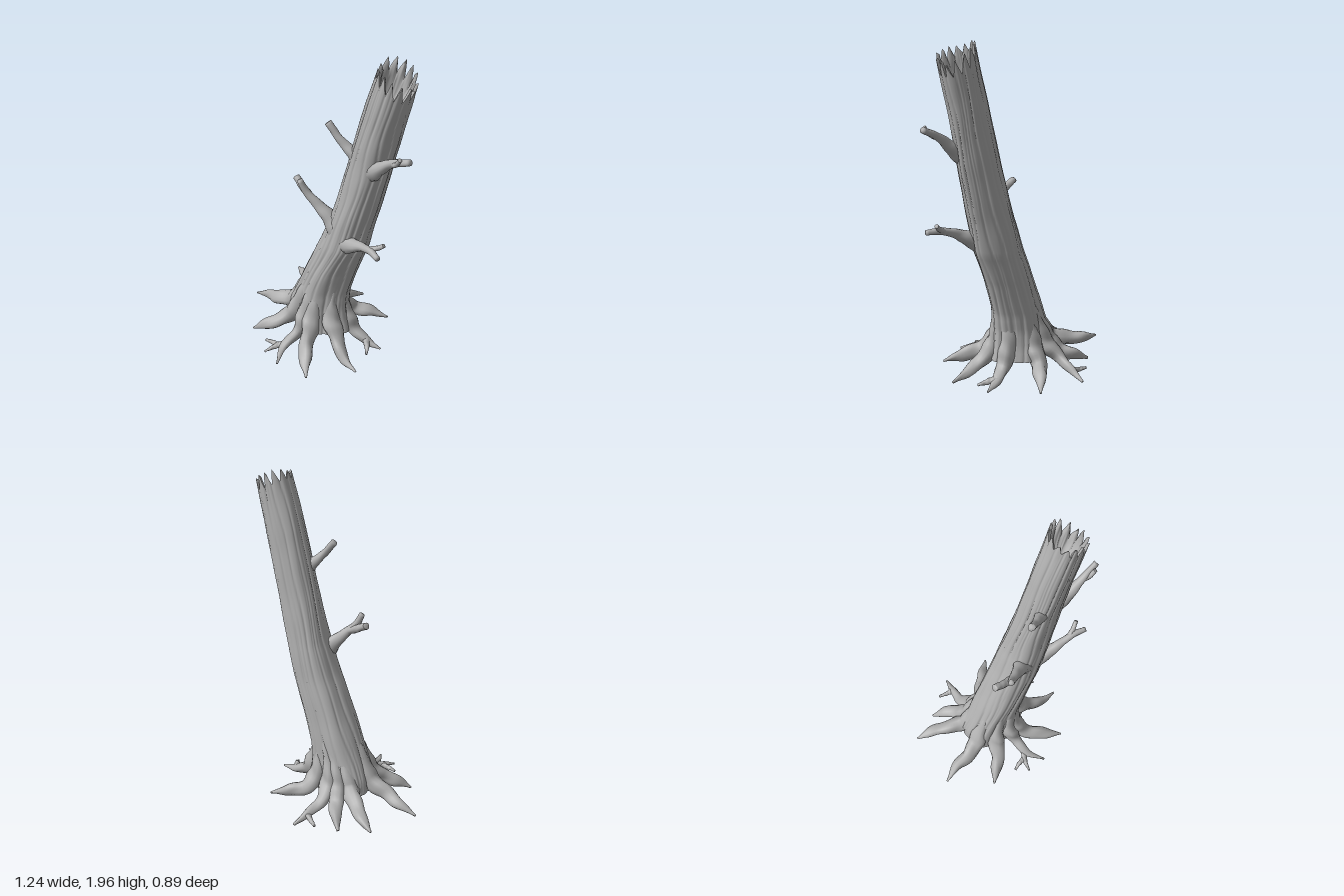
import * as THREE from 'three';

const V = (a) => new THREE.Vector3(...a);
const wood = new THREE.MeshStandardMaterial({ color: 0xb0b0b0 });
wood.name = 'grey wood';

// Trunk outline: height, left x, right x, half depth
const PROFILE = [
  [0.1, -0.33, 0.13, 0.19], [0.2, -0.31, 0.11, 0.165], [0.3, -0.265, 0.1, 0.152], [0.4, -0.22, 0.11, 0.146],
  [0.6, -0.13, 0.175, 0.14], [0.8, -0.035, 0.26, 0.135], [1.0, 0.05, 0.31, 0.128], [1.2, 0.115, 0.365, 0.119],
  [1.4, 0.175, 0.415, 0.112], [1.6, 0.23, 0.467, 0.106], [1.88, 0.325, 0.545, 0.1],
];
const SEG = 168, RIM = 1.88, TEETH = 14;
const smooth = THREE.MathUtils.smoothstep;

function section(y) {
  let i = 0;
  while (i < PROFILE.length - 2 && y > PROFILE[i + 1][0]) i++;
  const a = PROFILE[i], b = PROFILE[i + 1], t = (y - a[0]) / (b[0] - a[0]);
  const [l, r, hz] = [1, 2, 3].map((k) => a[k] + (b[k] - a[k]) * t);
  return { cx: (l + r) / 2, hx: (r - l) / 2, hz };
}

// Long bark ridges with narrow grooves, wandering slowly with height
function bark(th, y) {
  const w = th + 0.07 * Math.sin(y * 5 + 2 * th) + 0.03 * Math.sin(y * 13 + 3 * th);
  const groove = (n, p) => 1 - Math.pow(1 - Math.abs(Math.sin(n * w + p)), 3);
  const broad = 0.035 * Math.sin(5 * w + 1 + y) * (1.4 - 0.5 * y);
  const patches = 0.012 * Math.sin(y * 17 + 4 * th) * Math.sin(y * 9 - 3 * th);
  return 0.95 + broad + patches + 0.05 * groove(7, 0.4)
    + 0.035 * groove(11, y * 0.6) * (0.5 + 0.5 * Math.sin(6 * y + 2 * th));
}

// Jagged splinters round the broken top
function splinter(th) {
  const u = (th / (2 * Math.PI)) * TEETH, k = Math.floor(u), f = u - k;
  const h = 0.035 + 0.055 * Math.abs(Math.sin(k * 12.9 + 1.3));
  const peak = 0.3 + 0.4 * Math.abs(Math.sin(k * 5.7));
  return h * (f < peak ? f / peak : (1 - f) / (1 - peak)) - 0.03;
}

function trunkPoint(th, y, scale = 1) {
  const { cx, hx, hz } = section(y), r = bark(th, y) * scale;
  const dx = hx * r * Math.cos(th);
  const dy = -0.6 * smooth(y, 1.2, RIM) * dx + splinter(th) * smooth(y, 1.76, RIM);
  return [cx + dx + 0.27 * dy, y + dy, -0.004 + hz * r * Math.sin(th)];
}

// Closed rings joined by quads; each ring is [height, scale]
function loft(name, rings) {
  const pos = [], idx = [];
  rings.forEach(([y, s], j) => {
    for (let i = 0; i < SEG; i++) {
      pos.push(...trunkPoint((i / SEG) * 2 * Math.PI, y, s));
      if (j === rings.length - 1) continue;
      const a = j * SEG + i, b = j * SEG + ((i + 1) % SEG);
      idx.push(a, a + SEG, b, b, a + SEG, b + SEG);
    }
  });
  const g = new THREE.BufferGeometry();
  g.setAttribute('position', new THREE.Float32BufferAttribute(pos, 3));
  g.setIndex(idx);
  g.computeVertexNormals();
  const m = new THREE.Mesh(g, wood);
  m.name = name;
  return m;
}

// Tapered, slightly knotty limb through points [x, y, z, radius]
function limb(name, pts, knots = 0.1) {
  const n = 28, sides = 12;
  const curve = new THREE.CatmullRomCurve3(pts.map((p) => V(p.slice(0, 3))), false, 'centripetal');
  const radii = new THREE.SplineCurve(pts.map((p, i) => new THREE.Vector2(i, p[3])));
  const g = new THREE.BufferGeometry(), pos = [], idx = [];
  const frames = curve.computeFrenetFrames(n, false);
  for (let j = 0; j <= n + 1; j++) {
    const k = Math.min(j, n), t = curve.getUtoTmapping(k / n), c = curve.getPoint(t);
    const r = j > n ? 0 : Math.max(radii.getPoint(t).y, 0.003);
    for (let i = 0; i < sides; i++) {
      const a = (i / sides) * 2 * Math.PI;
      const rr = r * (1 + knots * Math.sin(3 * a + j * 0.35) + knots * 0.6 * Math.sin(j * 0.9 + a));
      const p = c.clone().addScaledVector(frames.normals[k], rr * Math.cos(a))
        .addScaledVector(frames.binormals[k], rr * Math.sin(a));
      pos.push(p.x, p.y, p.z);
      if (j > n) continue;
      const q = j * sides + i, s = j * sides + ((i + 1) % sides);
      idx.push(q, s, q + sides, s, s + sides, q + sides);
    }
  }
  g.setAttribute('position', new THREE.Float32BufferAttribute(pos, 3));
  g.setIndex(idx);
  g.computeVertexNormals();
  const m = new THREE.Mesh(g, wood);
  m.name = name;
  return m;
}

// Root: runs down the trunk flank, then out through the given points
function root(name, pts) {
  const [mx, , mz] = pts[0];
  const th = Math.atan2(mz / 0.165, (mx + 0.1) / 0.21);
  const on = (y, s, r) => {
    const { cx, hx, hz } = section(y);
    return [cx + hx * s * Math.cos(th), y, hz * s * Math.sin(th), r];
  };
  return limb(name, [on(0.44, 0.78, 0.025), on(0.3, 0.82, 0.042), on(0.18, 0.93, 0.056), ...pts], 0.12);
}

export function createModel() {
  const model = new THREE.Group();

  // Trunk, hollow broken top and underside
  const rings = [];
  for (let j = 0; j <= 70; j++) rings.push([0.12 + (RIM - 0.12) * (j / 70), 1]);
  model.add(
    loft('trunk', rings),
    loft('hollowTop', [[RIM, 1], [RIM - 0.01, 0.86], [1.82, 0.8], [1.77, 0.7], [1.73, 0.45], [1.72, 0]]),
    loft('trunkUnderside', [[0.2, 0], [0.18, 0.5], [0.15, 0.85], [0.12, 1]]),
  );

  // Roots
  const roots = {
    leftBackRoot: [[-0.39, 0.14, -0.17, 0.042], [-0.48, 0.13, -0.22, 0.032], [-0.57, 0.12, -0.25, 0.006]],
    longSideRoot: [[-0.4, 0.13, 0.075, 0.045], [-0.5, 0.1, 0.07, 0.034], [-0.62, 0.06, 0.093, 0.006]],
    frontSideRoot: [[-0.25, 0.11, 0.2, 0.044], [-0.32, 0.07, 0.26, 0.038], [-0.4, 0.02, 0.32, 0.006]],
    frontForkedRoot: [[-0.09, 0.1, 0.22, 0.035], [-0.1, 0.06, 0.32, 0.026], [-0.04, 0.025, 0.44, 0.006]],
    frontRoot: [[0.0, 0.1, 0.22, 0.045], [0.08, 0.06, 0.31, 0.04], [0.17, 0.02, 0.395, 0.006]],
    leanSideRoot: [[0.15, 0.1, 0.1, 0.042], [0.23, 0.05, 0.135, 0.032], [0.35, 0.02, 0.15, 0.006]],
    leanForkedRoot: [[0.14, 0.1, -0.06, 0.04], [0.23, 0.05, -0.08, 0.028], [0.33, 0.03, -0.1, 0.006]],
    backRoot: [[-0.01, 0.11, -0.21, 0.045], [0.07, 0.08, -0.28, 0.038], [0.17, 0.04, -0.355, 0.006]],
    backForkedRoot: [[-0.17, 0.11, -0.24, 0.036], [-0.15, 0.06, -0.35, 0.024], [-0.13, 0.02, -0.44, 0.008]],
    backSideRoot: [[-0.24, 0.12, -0.19, 0.045], [-0.3, 0.09, -0.26, 0.036], [-0.375, 0.05, -0.315, 0.008]],
  };
  for (const [name, pts] of Object.entries(roots)) model.add(root(name, pts));

  // Side prongs of the forked roots
  model.add(
    limb('rootProng', [[-0.1, 0.06, 0.3, 0.02], [-0.14, 0.05, 0.35, 0.017], [-0.17, 0.03, 0.425, 0.006]]),
    limb('rootProng', [[-0.13, 0.05, 0.34, 0.016], [-0.18, 0.05, 0.345, 0.014], [-0.235, 0.04, 0.355, 0.008]]),
    limb('rootProng', [[-0.15, 0.06, -0.35, 0.02], [-0.2, 0.05, -0.365, 0.014], [-0.25, 0.05, -0.385, 0.008]]),
    limb('rootProng', [[0.22, 0.06, -0.08, 0.022], [0.27, 0.05, -0.04, 0.016], [0.3, 0.03, 0.0, 0.007]]),
  );

  // Broken branches, each with its short fork
  const branches = {
    lowerLeftBranch: [[0.13, 0.88, 0.05, 0.075], [0.06, 0.97, 0.08, 0.046], [-0.02, 1.06, 0.115, 0.027], [-0.07, 1.12, 0.14, 0.022], [-0.095, 1.185, 0.16, 0.017]],
    lowerLeftTwig: [[-0.03, 1.07, 0.12, 0.022], [-0.1, 1.11, 0.12, 0.022], [-0.175, 1.155, 0.11, 0.02]],
    upperLeftBranch: [[0.28, 1.35, 0.03, 0.06], [0.215, 1.43, 0.06, 0.036], [0.15, 1.5, 0.09, 0.022], [0.085, 1.585, 0.115, 0.02]],
    upperRightBranch: [[0.34, 1.36, 0.05, 0.05], [0.415, 1.42, 0.07, 0.036], [0.5, 1.485, 0.08, 0.022], [0.61, 1.53, 0.08, 0.017]],
    upperRightTwig: [[0.5, 1.48, 0.08, 0.016], [0.54, 1.5, 0.1, 0.013], [0.57, 1.54, 0.11, 0.011]],
    lowerRightBranch: [[0.18, 0.84, 0.07, 0.055], [0.27, 0.89, 0.105, 0.04], [0.36, 0.935, 0.13, 0.024], [0.44, 0.955, 0.15, 0.02], [0.51, 0.955, 0.175, 0.015]],
    lowerRightTwig: [[0.41, 0.95, 0.14, 0.017], [0.46, 0.975, 0.125, 0.014], [0.495, 1.0, 0.11, 0.012]],
  };
  for (const [name, pts] of Object.entries(branches)) model.add(limb(name, pts, 0.05));

  return model;
}
